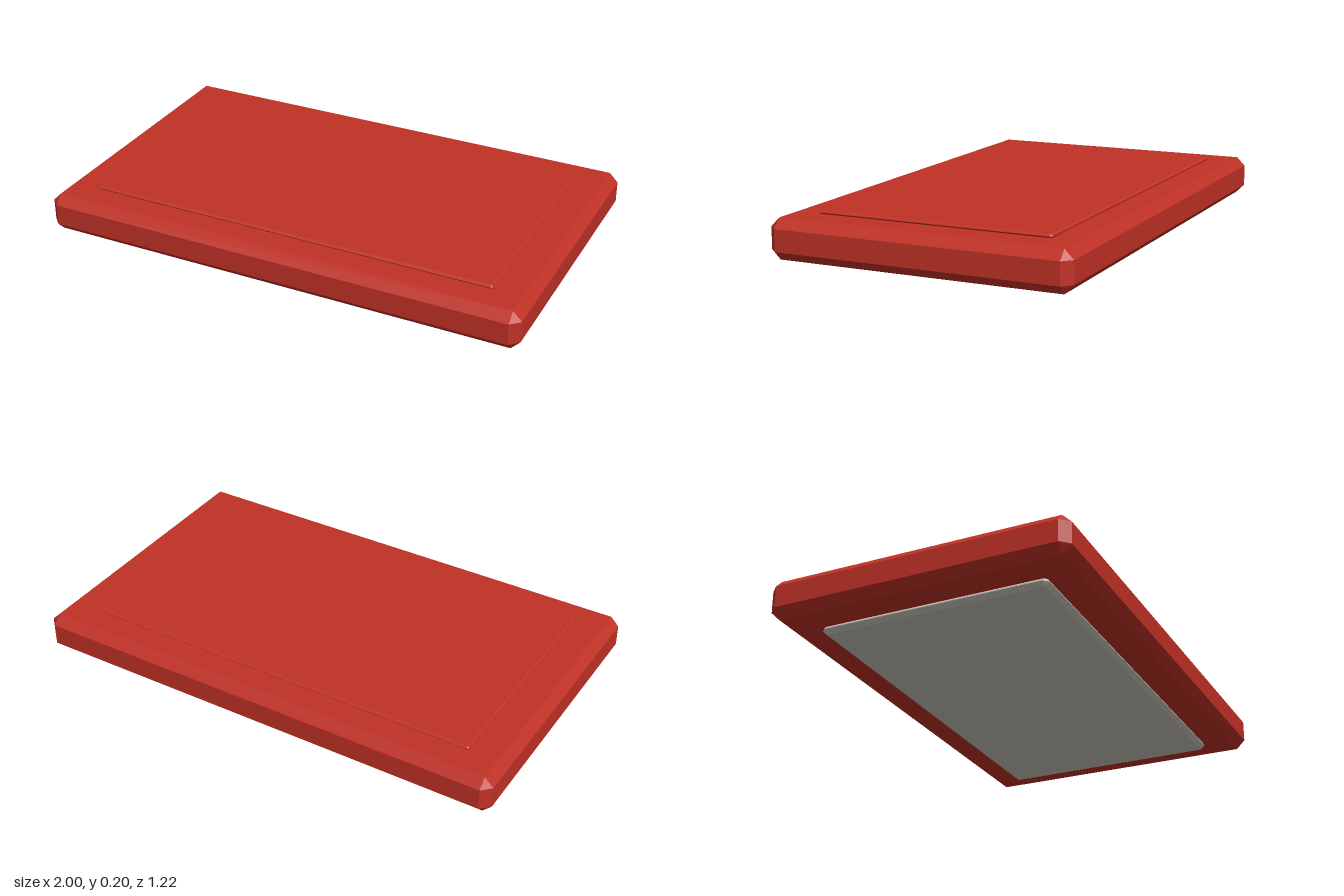
import * as THREE from 'three';
import { ConvexGeometry } from 'three/addons/geometries/ConvexGeometry.js';

// Box centred on x and z, spanning y0..y1, with every edge chamfered by b
function chamferedBox(name, material, halfX, halfZ, y0, y1, b) {
  const half = [halfX, (y1 - y0) / 2, halfZ];
  const points = [];
  for (const sx of [-1, 1]) for (const sy of [-1, 1]) for (const sz of [-1, 1]) {
    // Each corner becomes three points, one on each adjoining face
    for (let face = 0; face < 3; face++) {
      const [x, y, z] = half.map((h, axis) => (axis === face ? h : h - b));
      points.push(new THREE.Vector3(sx * x, sy * y, sz * z));
    }
  }
  const mesh = new THREE.Mesh(new ConvexGeometry(points), material);
  mesh.name = name;
  mesh.position.y = (y0 + y1) / 2;
  return mesh;
}

export function createModel() {
  const red = new THREE.MeshStandardMaterial({ name: 'red', color: 0xc03126 });
  const grey = new THREE.MeshStandardMaterial({ name: 'warm grey', color: 0xc8c4ba });

  const model = new THREE.Group();
  model.name = 'slab';
  model.add(
    chamferedBox('body', red, 1, 0.608, 0.029, 0.188, 0.036),
    // Thin raised panel on top
    chamferedBox('topPanel', red, 0.85, 0.475, 0.185, 0.203, 0.008),
    // Base pad, partly sunk into the underside
    chamferedBox('basePad', grey, 0.85, 0.463, 0, 0.038, 0.017),
  );
  return model;
}
